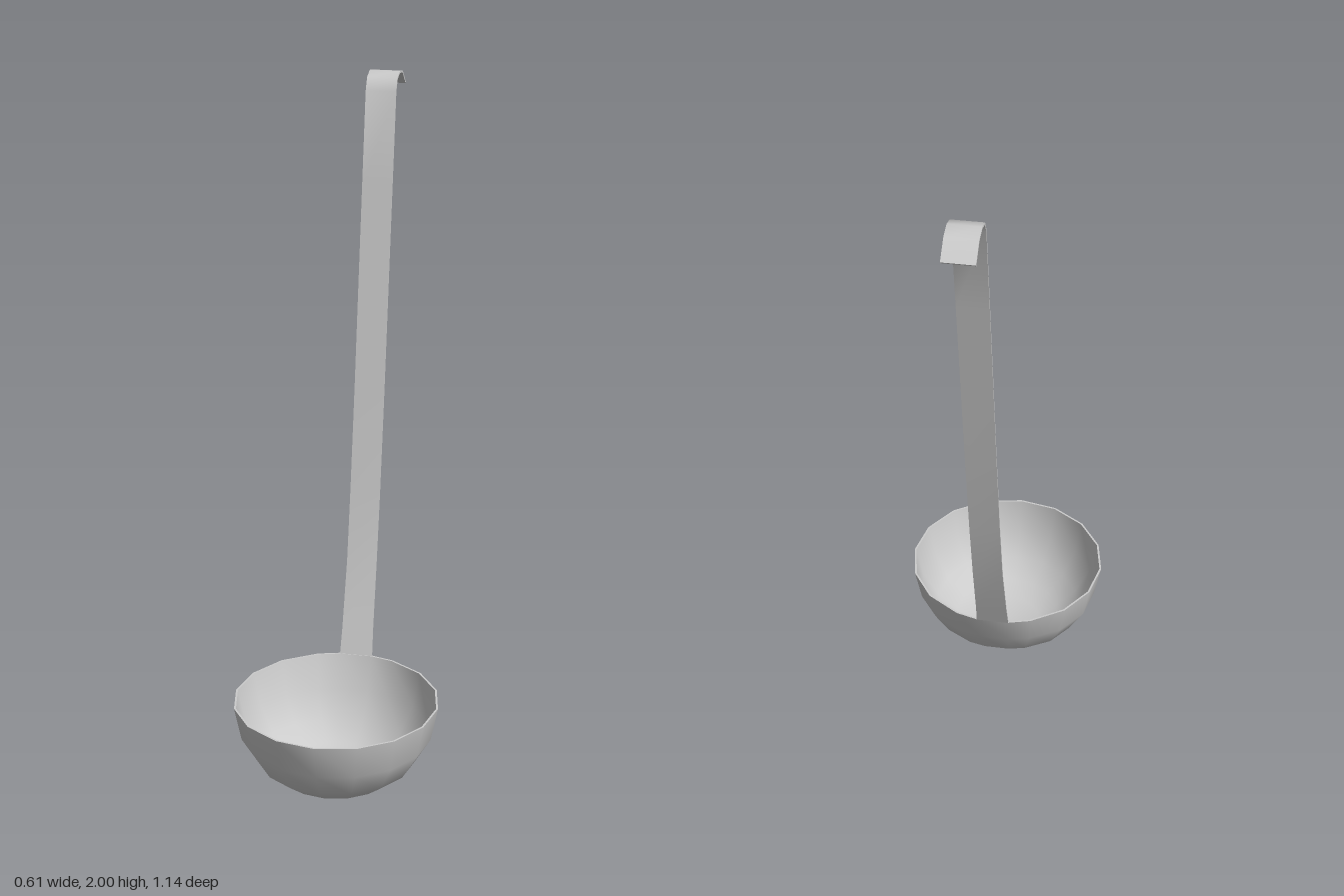
import * as THREE from 'three';
import { toCreasedNormals } from 'three/addons/utils/BufferGeometryUtils.js';

const material = new THREE.MeshStandardMaterial({ color: 0xcccccc, side: THREE.DoubleSide });
const THICK = 0.006;
const RIM_Y = 0.265;
const BOWL_Z = 0.265;

function addMesh(group, name, geometry, crease) {
  const mesh = new THREE.Mesh(toCreasedNormals(geometry, crease), material);
  mesh.name = name;
  group.add(mesh);
}

// Thin-walled bowl: 16 sided, with the rear corner widened to the handle's width
function bowlGeometry() {
  const outer = [[0, 0], [0.105, 0.003], [0.17, 0.025], [0.235, 0.075], [0.286, 0.16], [0.307, RIM_Y]];
  const inner = [[0.301, RIM_Y], [0.28, 0.162], [0.231, 0.08], [0.168, 0.031], [0.104, 0.009], [0, 0.006]];
  const profile = [...outer, ...inner].map(([r, y]) => new THREE.Vector2(r, y));
  const geometry = new THREE.LatheGeometry(profile, 17);
  const pos = geometry.attributes.position;
  for (let i = 0; i < pos.count; i++) {
    const column = Math.floor(i / profile.length);
    const { x: r, y } = profile[i % profile.length];
    let angle = (column < 9 ? column : column - 1) * Math.PI / 8;
    if (column === 8) angle = Math.PI - 0.163;
    if (column === 9) angle = Math.PI + 0.163;
    // the rear wall is a little flatter where it runs into the handle
    const flatten = 0.018 * Math.max(0, -Math.cos(angle)) ** 3 * Math.sin(Math.PI * y / RIM_Y);
    pos.setXYZ(i, r * Math.sin(angle), y, BOWL_Z + r * Math.cos(angle) + flatten);
  }
  return geometry;
}

// Flat strip swept along a side profile of [z, y, half width]
function handleGeometry() {
  const path = [
    [-0.035, RIM_Y, 0.05], [-0.06, 0.34, 0.048], [-0.125, 0.54, 0.046], [-0.178, 0.76, 0.046],
    [-0.242, 1.07, 0.046], [-0.3, 1.38, 0.046], [-0.355, 1.67, 0.046], [-0.408, 1.95, 0.046],
    [-0.43, 1.985, 0.046], [-0.47, 1.997, 0.046], [-0.515, 1.988, 0.046], [-0.567, 1.945, 0.046],
  ];
  const n = path.length - 1;
  const geometry = new THREE.BoxGeometry(2, 1, THICK, 1, n, 1);
  const pos = geometry.attributes.position;
  for (let i = 0; i < pos.count; i++) {
    const k = Math.round((pos.getY(i) + 0.5) * n);
    const [z, y, halfWidth] = path[k];
    const before = path[Math.max(k - 1, 0)];
    const after = path[Math.min(k + 1, n)];
    const dz = after[0] - before[0];
    const dy = after[1] - before[1];
    const offset = pos.getZ(i) / Math.hypot(dz, dy);
    pos.setXYZ(i, pos.getX(i) * halfWidth, y - dz * offset, z + dy * offset);
  }
  return geometry;
}

export function createModel() {
  const group = new THREE.Group();
  group.name = 'ladle';
  addMesh(group, 'bowl', bowlGeometry(), 1.0);
  addMesh(group, 'handle', handleGeometry(), 0.8);
  return group;
}
